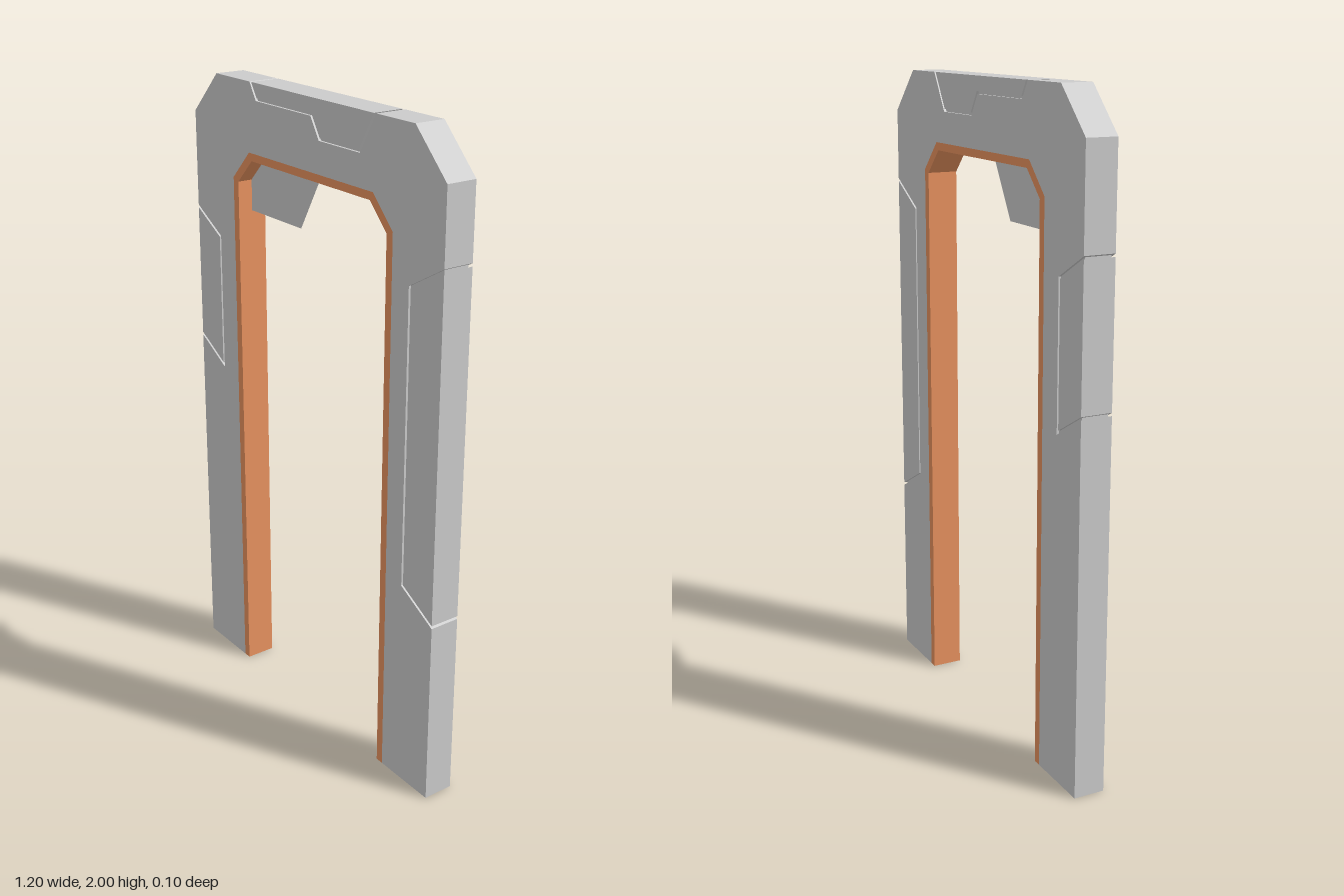
import * as THREE from 'three';

const DEPTH = 0.096;  // thickness of the arch
const GAP = 0.008;    // width of the panel seams
const RECESS = 0.008; // depth of the panel seams

const grey = new THREE.MeshStandardMaterial({ color: 0xcccccc, flatShading: true });
const orange = new THREE.MeshStandardMaterial({ color: 0xe8925f, flatShading: true });
const thinGrey = new THREE.MeshStandardMaterial({ color: 0xcccccc, side: THREE.DoubleSide });

const toShape = (pts) => new THREE.Shape(pts.map(([x, y]) => new THREE.Vector2(x, y)));
const mirrorX = (pts) => pts.map(([x, y]) => [-x, y]).reverse();

// Flat plate with the given outline, centred on z = 0
function plate(name, pts, depth, material) {
  const geo = new THREE.ExtrudeGeometry(toShape(pts), { depth, bevelEnabled: false });
  geo.translate(0, 0, -depth / 2);
  const mesh = new THREE.Mesh(geo, material);
  mesh.name = name;
  return mesh;
}

// Move the sides of a counter-clockwise outline inward; the closing side has its own distance
function inset(pts, side, closing) {
  const n = pts.length;
  const lines = pts.map(([x, y], i) => {
    const [u, v] = pts[(i + 1) % n];
    const len = Math.hypot(u - x, v - y);
    const a = -(v - y) / len, b = (u - x) / len;
    return [a, b, a * x + b * y + (i === n - 1 ? closing : side)];
  });
  return lines.map(([a, b, c], i) => {
    const [d, e, f] = lines[(i + n - 1) % n];
    const det = a * e - b * d;
    return [(c * e - b * f) / det, (a * f - c * d) / det];
  });
}

export function createModel() {
  const model = new THREE.Group();
  model.name = 'doorFrame';

  // Seam paths, each starting and ending on the outer edge of the arch
  const seams = {
    right: [[-0.6, 1.13], [-0.47, 1.056], [-0.47, 1.496], [-0.6, 1.57]],
    left: [[0.6, 1.65], [0.46, 1.57], [0.46, 0.665], [0.6, 0.588]],
    top: [[-0.29, 2], [-0.258, 1.948], [0.015, 1.948], [0.055, 1.885], [0.242, 1.885], [0.31, 2]],
  };
  const notch = (key) => [...seams[key]].reverse();

  // Right half of the doorway edges, from the floor up
  const trimOuter = [[0.388, 0], [0.388, 1.7], [0.3, 1.79]];
  const trimInner = [[0.362, 0], [0.362, 1.69], [0.287, 1.766]];
  const arch = (half) => [...half, ...mirrorX(half)];

  // Main frame with cut-outs for the panels
  model.add(plate('frame', [
    [0.6, 0], ...notch('left'), [0.6, 1.87], [0.47, 2],
    ...notch('top'), [-0.47, 2], [-0.6, 1.87], ...notch('right'), [-0.6, 0],
    ...arch(trimOuter).reverse(),
  ], DEPTH, grey));

  // Coloured trim lining the doorway
  model.add(plate('doorwayTrim', [...arch(trimOuter), ...arch(trimInner).reverse()], DEPTH, orange));

  // Panels, with a recessed strip as the floor of each seam
  for (const [key, path] of Object.entries(seams)) {
    model.add(plate(`${key}Panel`, inset(path, GAP, 0), DEPTH, grey));
    const strip = [...inset(path, 0, RECESS), ...inset(path, GAP, RECESS).reverse()];
    model.add(plate(`${key}SeamFloor`, strip, DEPTH - 2 * RECESS, grey));
  }

  // Thin sheet hanging in the upper corner of the doorway
  const sheet = new THREE.Mesh(new THREE.ShapeGeometry(toShape([
    [-0.364, 1.594], [-0.1, 1.594], [0, 1.766], [-0.287, 1.766], [-0.364, 1.69],
  ])), thinGrey);
  sheet.name = 'hangingSheet';
  model.add(sheet);

  return model;
}
